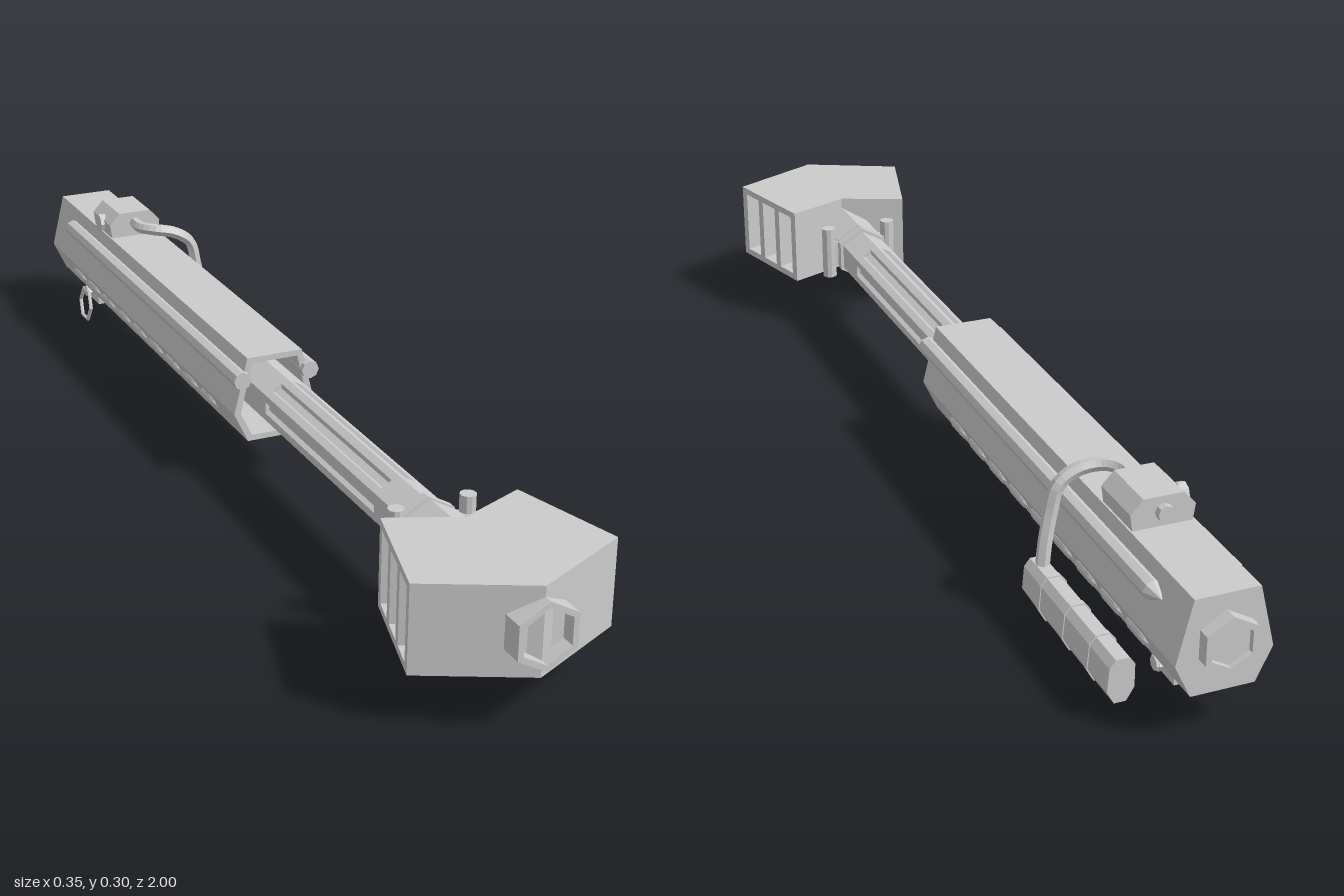
import * as THREE from 'three';

const CY = 0.17; // height of the bore axis
const mat = new THREE.MeshStandardMaterial({ color: 0xcccccc, flatShading: true, side: THREE.DoubleSide });

const toShape = (pts) => new THREE.Shape(pts.map(([x, y]) => new THREE.Vector2(x, y)));

// Extrude an x-y outline from z0 to z1
function prism(pts, z0, z1, hole) {
  const shape = toShape(pts);
  if (hole) shape.holes.push(toShape(hole));
  const geo = new THREE.ExtrudeGeometry(shape, { depth: z1 - z0, bevelEnabled: false });
  return geo.translate(0, 0, z0);
}

// Extrude an x-z plan upward from y0 to y1
function slab(pts, y0, y1) {
  const geo = prism(pts.map(([x, z]) => [x, -z]), y0, y1);
  return geo.rotateX(-Math.PI / 2);
}

// Hexagon with a corner at the top
function hex(r, cy = CY) {
  return Array.from({ length: 6 }, (_, i) => {
    const a = Math.PI / 2 + (i * Math.PI) / 3;
    return [r * Math.cos(a), cy + r * Math.sin(a)];
  });
}

// Hexagon with a groove along each face
function flutedHex(r, depth) {
  const pts = hex(r);
  return pts.flatMap((p, i) => {
    const q = pts[(i + 1) % 6];
    const at = (t, k) => {
      const x = p[0] + (q[0] - p[0]) * t, y = p[1] + (q[1] - p[1]) * t;
      return [x * k, CY + (y - CY) * k];
    };
    const k = 1 - depth / r;
    return [p, at(0.28, 1), at(0.34, k), at(0.66, k), at(0.72, 1)];
  });
}

const mirror = (half) => [...half, ...half.slice().reverse().map(([x, y]) => [-x, y])];

export function createModel() {
  const model = new THREE.Group();
  const add = (name, geo, parent = model) => {
    const m = new THREE.Mesh(geo, mat);
    m.name = name;
    parent.add(m);
    return m;
  };

  // Barrel
  add('barrelRear', prism(hex(0.049), -0.96, 0.1));
  add('barrelFluted', prism(flutedHex(0.049, 0.009), 0.1, 0.53));
  add('barrelFront', prism(hex(0.049), 0.53, 0.64));
  add('barrelCollar', prism(hex(0.056), 0.615, 0.632));
  add('rearBoreRing', prism(hex(0.049), -1, -0.95, hex(0.038)));
  add('rearBorePlug', prism(hex(0.038), -0.99, -0.95));

  // Muzzle brake: core, top and bottom plates, vent walls
  const brake = new THREE.Group();
  brake.name = 'muzzleBrake';
  model.add(brake);
  add('brakeNeck', prism(hex(0.055), 0.64, 0.78), brake);
  const plan = [[0, 0.985], [0.175, 0.9], [0.12, 0.7], [0, 0.75], [-0.12, 0.7], [-0.175, 0.9]];
  add('brakeTop', slab(plan, 0.233, 0.246), brake);
  add('brakeBottom', slab(plan, 0.094, 0.107), brake);
  add('brakeCore', slab([[0, 0.985], [0.103, 0.935], [0.048, 0.73], [0, 0.75], [-0.048, 0.73], [-0.103, 0.935]], 0.107, 0.233), brake);
  const innerAt = (t) => [0.048 + 0.055 * t, 0.73 + 0.205 * t];
  const outerAt = (t) => [0.12 + 0.055 * t, 0.7 + 0.2 * t];
  for (const side of [-1, 1]) {
    for (let i = 0; i < 4; i++) {
      const t0 = i * 0.307, t1 = t0 + 0.079;
      const wall = [innerAt(t0), outerAt(t0), outerAt(t1), innerAt(t1)].map(([x, z]) => [side * x, z]);
      add('ventWall', slab(wall, 0.107, 0.233), brake);
    }
    // Clamp bolts beside the neck
    const bolt = new THREE.CylinderGeometry(0.014, 0.014, 0.105, 10);
    add('clampBolt', bolt.translate(side * 0.064, CY + 0.003, 0.645), brake);
    add('clampLug', new THREE.BoxGeometry(0.03, 0.05, 0.025).translate(side * 0.045, CY, 0.648), brake);
  }
  add('muzzleRing', prism(hex(0.058), 0.9, 1, hex(0.047)), brake);
  add('muzzlePlug', prism(hex(0.047), 0.9, 0.975), brake);

  // Handguard shell, open at the front and closed at the rear
  const outer = mirror([[0.053, 0.083], [0.08, 0.14], [0.054, 0.247]]);
  const inner = mirror([[0.045, 0.094], [0.067, 0.14], [0.045, 0.236]]);
  add('handguard', prism(outer, -0.96, 0.045, inner));
  add('handguardRearCap', prism(outer, -0.978, -0.96));

  for (const side of [-1, 1]) {
    // Side rail with pointed rear end
    const rail = new THREE.Group();
    rail.name = 'sideRail';
    model.add(rail);
    const rod = new THREE.CylinderGeometry(0.017, 0.017, 0.93, 8).rotateX(Math.PI / 2);
    add('railRod', rod.translate(side * 0.067, 0.208, -0.41), rail);
    const tip = new THREE.ConeGeometry(0.017, 0.03, 8).rotateX(-Math.PI / 2);
    add('railTip', tip.translate(side * 0.067, 0.208, -0.89), rail);
    // Row of raised pads on the lower panel
    for (let i = 0; i < 9; i++) {
      const pad = new THREE.CapsuleGeometry(0.014, 0.042, 2, 8).rotateX(Math.PI / 2);
      pad.scale(0.5, 1, 1).rotateZ(-side * 0.44);
      add('gripPad', pad.translate(side * 0.0675, 0.112, -0.105 - i * 0.091));
    }
  }

  // Sight block on top with side knob
  const sight = new THREE.Group();
  sight.name = 'sight';
  model.add(sight);
  add('sightBody', prism(mirror([[0.05, 0.24], [0.055, 0.275], [0.034, 0.298]]), -0.77, -0.668), sight);
  add('sightRearLens', new THREE.CylinderGeometry(0.014, 0.014, 0.02, 8).rotateX(Math.PI / 2).translate(0, 0.272, -0.772), sight);
  add('sightKnob', new THREE.CylinderGeometry(0.018, 0.018, 0.014, 8).rotateZ(Math.PI / 2).translate(-0.055, 0.267, -0.72), sight);

  // Cable from the sight down to the side unit
  const route = new THREE.CatmullRomCurve3([
    [0, 0.275, -0.67], [0, 0.276, -0.63], [0.02, 0.276, -0.605], [0.06, 0.268, -0.593],
    [0.092, 0.245, -0.59], [0.104, 0.2, -0.59], [0.115, 0.15, -0.595], [0.122, 0.1, -0.6],
  ].map((p) => new THREE.Vector3(...p)), false, 'centripetal');
  add('cable', new THREE.TubeGeometry(route, 28, 0.012, 6));

  // Side unit with a sloped lower front
  const section = [[0.113, 0.038], [0.133, 0.038], [0.145, 0.06], [0.142, 0.1], [0.132, 0.113], [0.11, 0.113], [0.1, 0.1], [0.1, 0.06]];
  const unit = prism(section, -0.893, -0.575);
  const pos = unit.attributes.position;
  for (let i = 0; i < pos.count; i++) {
    if (pos.getZ(i) > -0.7 && pos.getY(i) < 0.05) pos.setZ(i, -0.61);
  }
  unit.computeVertexNormals();
  add('sideUnit', unit);
  const band = section.map(([x, y]) => [0.122 + (x - 0.122) * 1.08, 0.078 + (y - 0.078) * 1.06]);
  for (const z of [-0.64, -0.73, -0.82]) add('sideUnitBand', prism(band, z - 0.005, z + 0.005));

  // Sling mount under the rear: block, pin and hanging ring
  const sling = new THREE.Group();
  sling.name = 'slingMount';
  model.add(sling);
  add('slingBlock', new THREE.BoxGeometry(0.068, 0.045, 0.075).translate(0, 0.067, -0.855), sling);
  add('slingPin', new THREE.CylinderGeometry(0.012, 0.012, 0.1, 8).rotateZ(Math.PI / 2).translate(0, 0.065, -0.855), sling);
  for (const side of [-1, 1]) {
    add('slingPinHead', new THREE.CylinderGeometry(0.014, 0.014, 0.012, 6).rotateZ(Math.PI / 2).translate(side * 0.04, 0.065, -0.855), sling);
  }
  const ring = new THREE.TorusGeometry(0.033, 0.004, 6, 6).scale(1, 1.08, 1).rotateY(Math.PI / 2).rotateZ(-0.08);
  add('slingRing', ring.translate(-0.051, 0.0355, -0.855), sling);

  return model;
}
